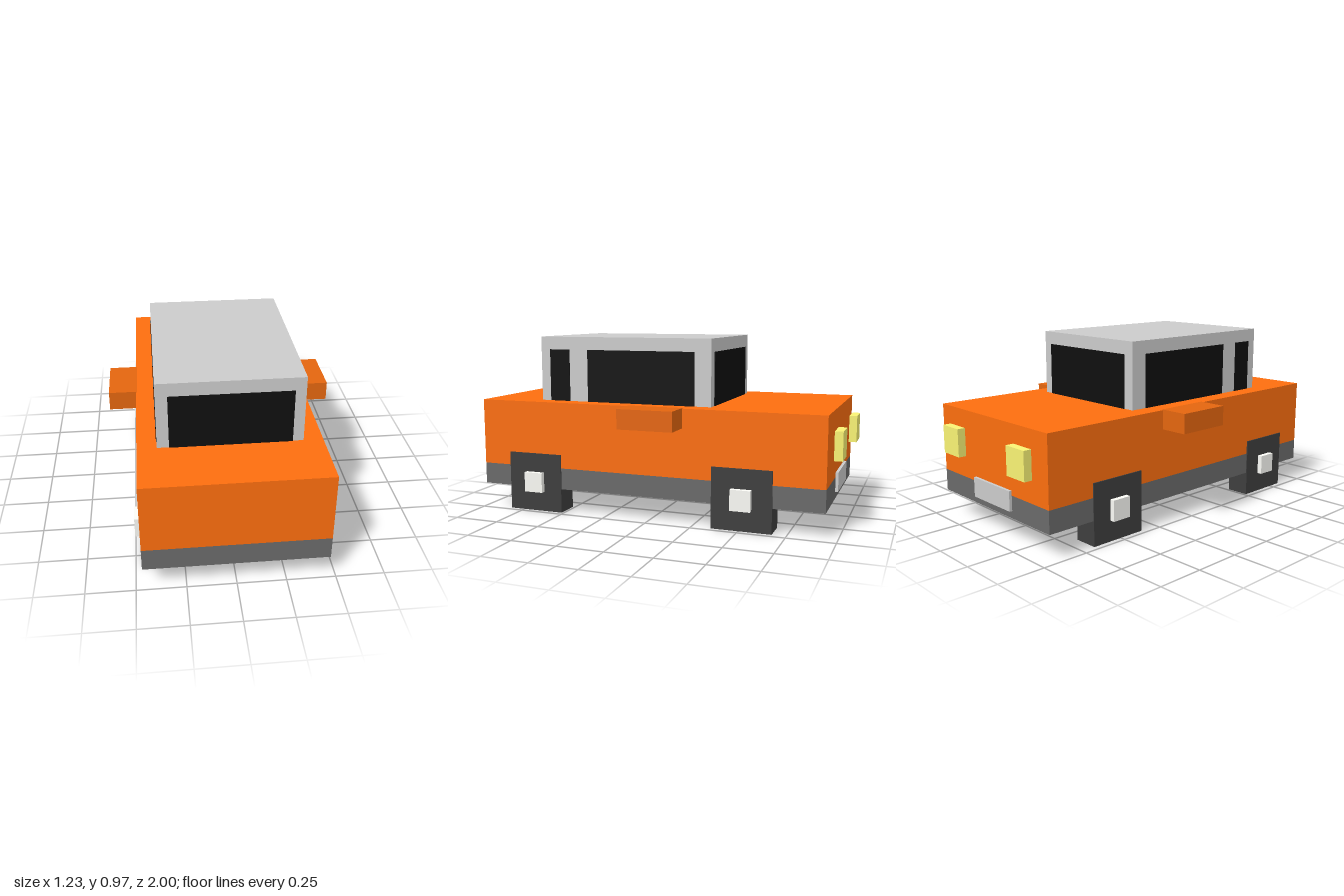
import * as THREE from 'three';

const mat = (color) => new THREE.MeshStandardMaterial({ color, flatShading: true });

export function createModel() {
  const car = new THREE.Group();
  car.name = 'car';

  const paint = mat(0xfc6e0e);
  const mirrorPaint = mat(0xe4660f);
  const grey = mat(0xcccccc);
  const sill = mat(0x6a6a6a);
  const rubber = mat(0x3e3e3e);
  const glass = mat(0x0f0f0f);
  const hub = mat(0xfbfbf6);
  const lamp = mat(0xf9f374);

  // Box given by its extents along each axis
  const block = (name, material, [x0, x1], [y0, y1], [z0, z1]) => {
    const mesh = new THREE.Mesh(new THREE.BoxGeometry(x1 - x0, y1 - y0, z1 - z0), material);
    mesh.position.set((x0 + x1) / 2, (y0 + y1) / 2, (z0 + z1) / 2);
    mesh.name = name;
    car.add(mesh);
  };
  // Box repeated on both sides of the car
  const pair = (name, material, [x0, x1], y, z) => {
    block(name + 'Left', material, [x0, x1], y, z);
    block(name + 'Right', material, [-x1, -x0], y, z);
  };

  // Body, lower sill and cabin
  block('body', paint, [-0.465, 0.465], [0.25, 0.615], [-0.94, 1]);
  block('lowerSill', sill, [-0.465, 0.465], [0.132, 0.25], [-0.94, 1]);
  block('cabin', grey, [-0.365, 0.365], [0.615, 0.97], [-0.32, 0.675]);

  // Windows, standing just proud of the cabin
  const winY = [0.615, 0.9];
  block('windowPlusZ', glass, [-0.305, 0.31], winY, [0.66, 0.679]);
  block('windowMinusZ', glass, [-0.305, 0.31], winY, [-0.324, -0.305]);
  pair('longSideWindow', glass, [0.35, 0.368], winY, [-0.228, 0.39]);
  pair('shortSideWindow', glass, [0.35, 0.368], winY, [0.5, 0.62]);

  // Square wheels with hubs
  for (const [name, z] of [['Front', -0.515], ['Rear', 0.673]]) {
    pair('wheel' + name, rubber, [0.34, 0.471], [0, 0.325], [z - 0.16, z + 0.16]);
    pair('hub' + name, hub, [0.46, 0.498], [0.11, 0.22], [z - 0.054, z + 0.054]);
  }

  // Side mirrors, lamps and number plate
  pair('mirror', mirrorPaint, [0.46, 0.615], [0.513, 0.618], [-0.197, 0.105]);
  pair('headlight', lamp, [0.219, 0.363], [0.375, 0.525], [-1, -0.957]);
  block('plate', grey, [-0.165, 0.155], [0.17, 0.275], [-0.955, -0.935]);

  return car;
}
